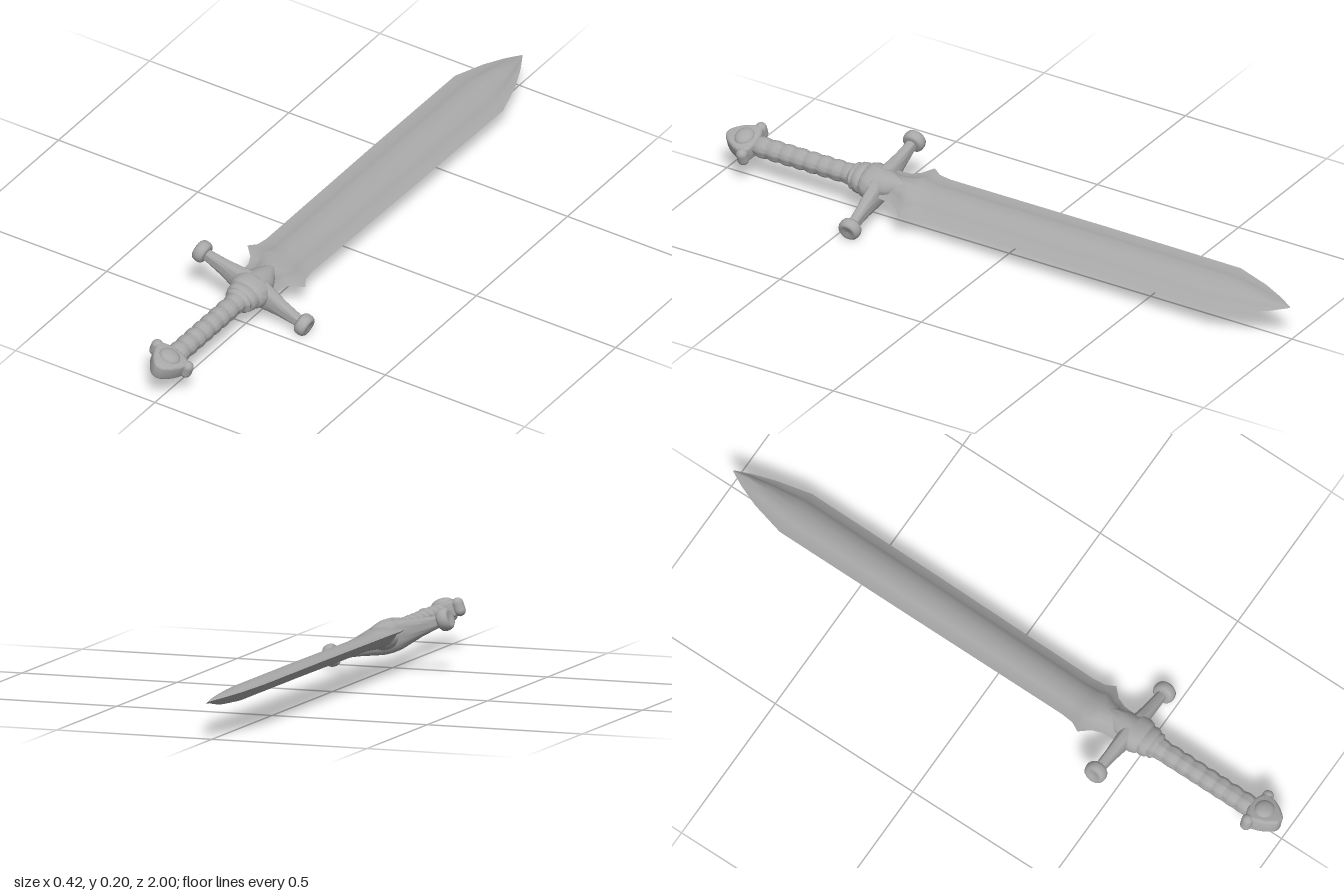
import * as THREE from 'three';
import { toCreasedNormals } from 'three/addons/utils/BufferGeometryUtils.js';

const steel = new THREE.MeshStandardMaterial({ color: 0xa8a8a8 });
steel.name = 'grey steel';

// Skin closed rings of [x, y, z] points (counter-clockwise, ordered along +z), with end caps
function loft(rings, crease = 0.7) {
  const n = rings[0].length, pos = rings.flat(2), idx = [];
  for (let i = 0; i < rings.length - 1; i++) {
    for (let j = 0; j < n; j++) {
      const a = i * n + j, b = i * n + (j + 1) % n;
      idx.push(a, b, b + n, a, b + n, a + n);
    }
  }
  const last = (rings.length - 1) * n;
  for (let j = 1; j < n - 1; j++) {
    idx.push(0, j + 1, j, last, last + j, last + j + 1);
  }
  const g = new THREE.BufferGeometry();
  g.setAttribute('position', new THREE.Float32BufferAttribute(pos, 3));
  g.setIndex(idx);
  return toCreasedNormals(g, crease);
}

// Elliptical ring; power below 1 makes it boxier
function oval(z, rx, ry, power = 1, n = 28) {
  const f = (t) => Math.sign(t) * Math.abs(t) ** power;
  return Array.from({ length: n }, (_, i) => {
    const a = (i / n) * Math.PI * 2;
    return [rx * f(Math.cos(a)), ry * f(Math.sin(a)), z];
  });
}

function mesh(name, geometry, parent) {
  const m = new THREE.Mesh(geometry, steel);
  m.name = name;
  parent.add(m);
  return m;
}

function createBlade() {
  // Upper half of the section: thin edge, hollow bevel, rounded spine
  const half = [[1, 0], [0.66, 0.24], [0.54, 0.5], [0.34, 0.84], [0, 1]];
  const top = [...half, ...half.slice(0, 4).reverse().map(([x, y]) => [-x, y])];
  const section = [...top, ...top.slice(1, -1).reverse().map(([x, y]) => [x, -y])];
  // z, half width, half thickness, lift
  const stations = [
    [-1, 0.002, 0.001, 0.009], [-0.95, 0.03, 0.01, 0.006], [-0.88, 0.06, 0.018, 0.003],
    [-0.77, 0.092, 0.024, 0.002], [-0.3, 0.091, 0.024, 0.002], [0.26, 0.087, 0.024, 0],
    [0.3, 0.092, 0.026, 0], [0.33, 0.11, 0.03, 0], [0.36, 0.078, 0.032, 0],
    [0.39, 0.064, 0.034, 0], [0.45, 0.06, 0.036, 0],
  ];
  return loft(stations.map(([z, w, t, lift]) =>
    section.map(([x, y]) => [x * w - 0.008 * z, y * t + lift, z])));
}

function createGuard() {
  const guard = new THREE.Group();
  guard.name = 'crossguard';
  guard.position.set(-0.002, -0.009, 0.453);

  // Tapered bar
  const right = [[0, 0.026, 0.049], [0.03, 0.025, 0.047], [0.06, 0.023, 0.04],
    [0.11, 0.019, 0.028], [0.18, 0.016, 0.017]];
  const bar = [...right.slice(1).reverse().map(([u, a, b]) => [-u, a, b]), ...right];
  mesh('guard bar', loft(bar.map(([u, a, b]) => oval(u, a, b, 0.85))), guard)
    .rotation.y = Math.PI / 2;

  // Rounded end knobs with a dished outer face
  const profile = [[0, 0], [0.026, 0], [0.032, 0.005], [0.035, 0.013], [0.035, 0.024],
    [0.032, 0.033], [0.026, 0.038], [0.021, 0.036], [0, 0.033]]
    .map(([r, y]) => new THREE.Vector2(r, y));
  for (const s of [-1, 1]) {
    const knob = mesh('guard knob', new THREE.LatheGeometry(profile, 28), guard);
    knob.position.x = s * 0.175;
    knob.rotation.z = -s * Math.PI / 2;
  }
  return guard;
}

function createPommel() {
  const pommel = new THREE.Group();
  pommel.name = 'pommel';
  pommel.position.y = 0.002;

  // Pointed shield-shaped body lying flat
  const s = new THREE.Shape();
  s.moveTo(-0.058, 0.905);
  s.quadraticCurveTo(0, 0.87, 0.058, 0.905);
  s.quadraticCurveTo(0.052, 0.955, 0.016, 0.988);
  s.quadraticCurveTo(0, 0.998, -0.016, 0.988);
  s.quadraticCurveTo(-0.052, 0.955, -0.058, 0.905);
  const body = new THREE.ExtrudeGeometry(s, {
    depth: 0.034, bevelEnabled: true, bevelThickness: 0.009, bevelSize: 0.009,
    bevelOffset: -0.007, bevelSegments: 3, curveSegments: 10,
  });
  body.translate(0, 0, -0.017).rotateX(Math.PI / 2);
  mesh('pommel body', toCreasedNormals(body, 0.7), pommel);

  // Oval bosses on both faces
  for (const side of [-1, 1]) {
    const boss = mesh('pommel boss', new THREE.SphereGeometry(1, 24, 14), pommel);
    boss.scale.set(0.034, 0.016, 0.03);
    boss.position.set(0, side * 0.024, 0.932);
  }

  // Curled horns at the sides
  for (const side of [-1, 1]) {
    const horn = mesh('pommel horn', new THREE.CapsuleGeometry(0.018, 0.022, 6, 18), pommel);
    horn.position.set(side * 0.058, 0, 0.91);
  }
  return pommel;
}

export function createModel() {
  const root = new THREE.Group();
  root.name = 'sword';
  const sword = new THREE.Group();
  sword.name = 'tilted sword';
  sword.rotation.z = THREE.MathUtils.degToRad(-19.5);
  sword.position.y = 0.114;
  root.add(sword);

  mesh('blade', createBlade(), sword);
  sword.add(createGuard());

  // Pointed sleeve running from the guard onto the blade
  mesh('blade sleeve', loft([[0.35, 0.008, 0.026], [0.385, 0.03, 0.037],
    [0.42, 0.046, 0.043], [0.46, 0.054, 0.046]]
    .map(([z, a, b]) => oval(z, a, b))), sword);

  // Stepped collar behind the guard
  mesh('collar', loft([[0.46, 0.06, 0.044], [0.485, 0.063, 0.045], [0.5, 0.058, 0.042],
    [0.506, 0.05, 0.037], [0.515, 0.053, 0.04], [0.53, 0.05, 0.039], [0.536, 0.043, 0.035],
    [0.545, 0.045, 0.036], [0.555, 0.034, 0.03]]
    .map(([z, a, b]) => oval(z, a, b, 0.9))), sword);

  // Grip with rounded finger ridges
  const grip = [];
  for (let i = 0; i <= 64; i++) {
    const r = 0.029 + 0.004 * Math.abs(Math.sin((i / 64) * Math.PI * 8));
    grip.push(oval(0.54 + (i / 64) * 0.35, r * 1.04, r * 0.96));
  }
  mesh('grip', loft(grip), sword);

  sword.add(createPommel());
  return root;
}
